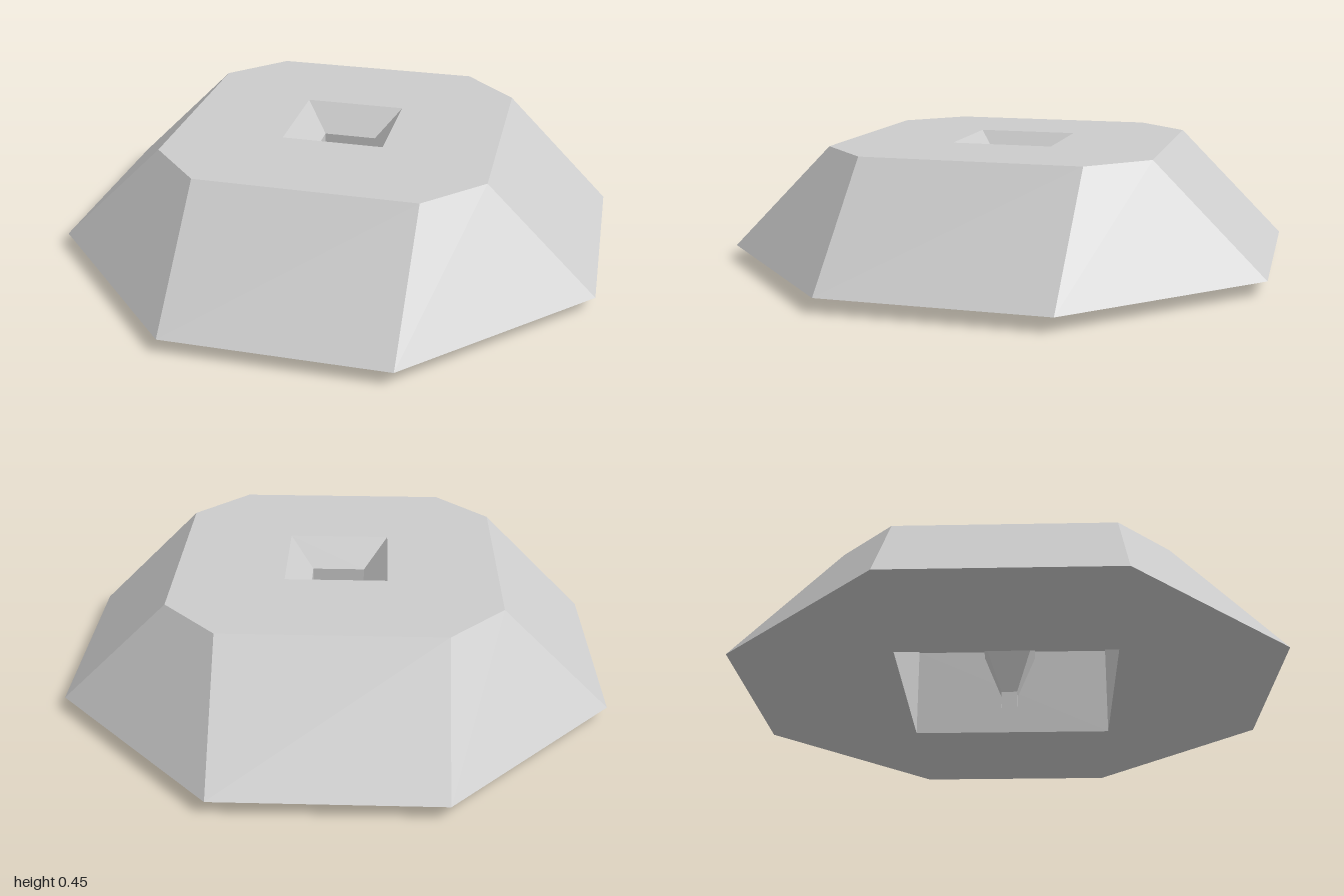
import * as THREE from 'three';

const material = new THREE.MeshStandardMaterial({ color: 0xcccccc, flatShading: true, side: THREE.DoubleSide });

// Outlines in plan, anticlockwise seen from above
const square = (h) => [[h, -h], [h, h], [-h, h], [-h, -h]];
const octagon = (r, c) => [[r, -c], [r, c], [c, r], [-c, r], [-r, c], [-r, -c], [-c, -r], [c, -r]];

// Flat-sided skin through outlines stacked from low to high: [[y, outline], ...]
function loft(sections, inward = false) {
  const pos = [];
  for (let s = 0; s < sections.length - 1; s++) {
    const [y0, lo] = sections[s];
    const [y1, hi] = sections[s + 1];
    lo.forEach((_, i) => {
      const j = (i + 1) % lo.length;
      const a = [lo[i][0], y0, -lo[i][1]], b = [lo[j][0], y0, -lo[j][1]];
      const c = [hi[j][0], y1, -hi[j][1]], d = [hi[i][0], y1, -hi[i][1]];
      pos.push(...(inward ? [a, c, b, a, d, c] : [a, b, c, a, c, d]).flat());
    });
  }
  const geo = new THREE.BufferGeometry();
  geo.setAttribute('position', new THREE.Float32BufferAttribute(pos, 3));
  geo.computeVertexNormals();
  return geo;
}

// Horizontal plate with a square opening
function plate(outline, hole, y, up) {
  const points = (list) => list.map(([x, z]) => new THREE.Vector2(x, z));
  const shape = new THREE.Shape(points(outline));
  shape.holes.push(new THREE.Path(points(square(hole))));
  const geo = new THREE.ShapeGeometry(shape);
  geo.rotateX(up ? -Math.PI / 2 : Math.PI / 2);
  return geo.translate(0, y, 0);
}

export function createModel() {
  const group = new THREE.Group();
  const add = (name, geo) => {
    const mesh = new THREE.Mesh(geo, material);
    mesh.name = name;
    group.add(mesh);
  };

  const baseY = 0.05, topY = 0.45, ceilingY = 0.42;
  const base = octagon(1, 0.4);
  const top = octagon(0.6, 0.4);

  // Sloping octagonal body
  add('bodySides', loft([[baseY, base], [topY, top]]));
  add('topPlate', plate(top, 0.19, topY, true));
  add('basePlate', plate(base, 0.4, baseY, false));

  // Square chamber open underneath
  add('chamberWalls', loft([[baseY, square(0.4)], [ceilingY, square(0.4)]], true));
  add('chamberCeiling', plate(square(0.4), 0.163, ceilingY, false));

  // Thin square funnel hanging through the chamber, with a spout below
  add('funnel', loft([
    [0, square(0.03)],
    [0.05, square(0.03)],
    [0.25, square(0.1)],
    [0.35, square(0.1)],
    [topY, square(0.19)],
  ]));

  return group;
}
